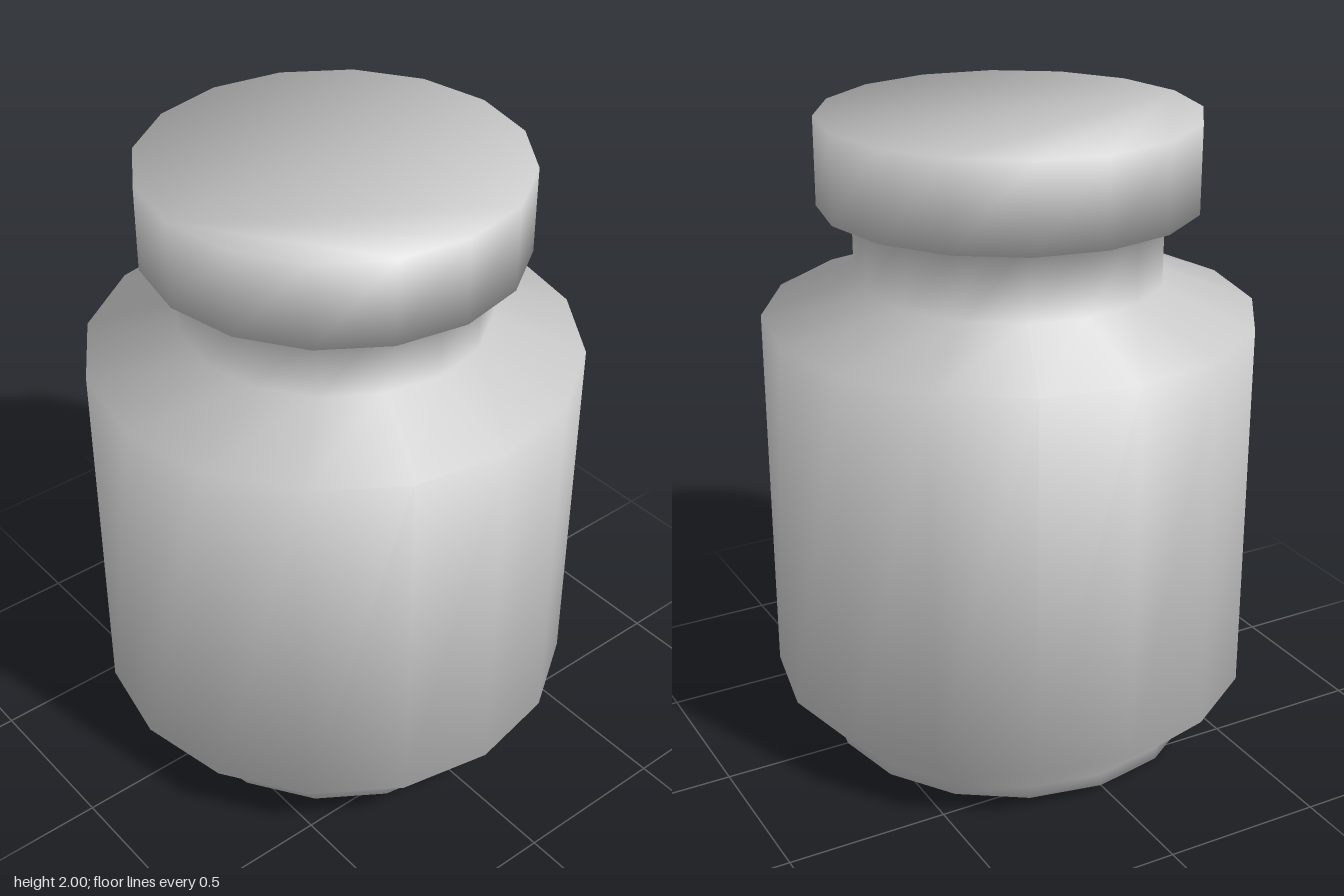
import * as THREE from 'three';

const SIDES = 16;

// Silhouette from foot to lid as [radius, height]
const PROFILE = [
  [0.595, 0], [0.595, 0.04], // foot
  [0.76, 0.2], [0.76, 1.39], // belly
  [0.475, 1.5], [0.475, 1.73], // neck
  [0.58, 1.73], [0.58, 2], // lid
];

// Outward normal at each profile point: the mean of its two neighbouring faces
function profileNormals(points) {
  const pts = [[0, points[0][1]], ...points, [0, points[points.length - 1][1]]]
    .map(([r, y]) => new THREE.Vector2(r, y));
  const faces = pts.slice(1).map((p, i) => {
    const d = p.clone().sub(pts[i]).normalize();
    return new THREE.Vector2(d.y, -d.x);
  });
  return points.map((_, i) => faces[i].clone().add(faces[i + 1]).normalize());
}

// Turns profile points first..last into a smooth band, closed where the jar ends
function band(name, first, last, material) {
  const normals = profileNormals(PROFILE);
  const position = [], normal = [], index = [];
  for (let k = first; k <= last; k++) {
    const [r, y] = PROFILE[k];
    for (let i = 0; i < SIDES; i++) {
      const a = (i / SIDES) * Math.PI * 2;
      const s = Math.sin(a), c = Math.cos(a);
      position.push(r * s, y, r * c);
      normal.push(normals[k].x * s, normals[k].y, normals[k].x * c);
    }
  }
  const rings = last - first;
  for (let k = 0; k < rings; k++) {
    for (let i = 0; i < SIDES; i++) {
      const a = k * SIDES + i, b = k * SIDES + (i + 1) % SIDES;
      index.push(a, b, b + SIDES, a, b + SIDES, a + SIDES);
    }
  }
  // Flat end faces
  const top = rings * SIDES;
  for (let i = 1; i < SIDES - 1; i++) {
    if (first === 0) index.push(0, i + 1, i);
    if (last === PROFILE.length - 1) index.push(top, top + i, top + i + 1);
  }
  const geometry = new THREE.BufferGeometry();
  geometry.setAttribute('position', new THREE.Float32BufferAttribute(position, 3));
  geometry.setAttribute('normal', new THREE.Float32BufferAttribute(normal, 3));
  geometry.setIndex(index);
  const mesh = new THREE.Mesh(geometry, material);
  mesh.name = name;
  return mesh;
}

export function createModel() {
  const group = new THREE.Group();
  group.name = 'jar';
  const material = new THREE.MeshStandardMaterial({ color: 0xcccccc });
  group.add(
    band('body', 0, 4, material),
    band('neck', 4, 5, material),
    band('lid', 5, 7, material),
  );
  return group;
}
